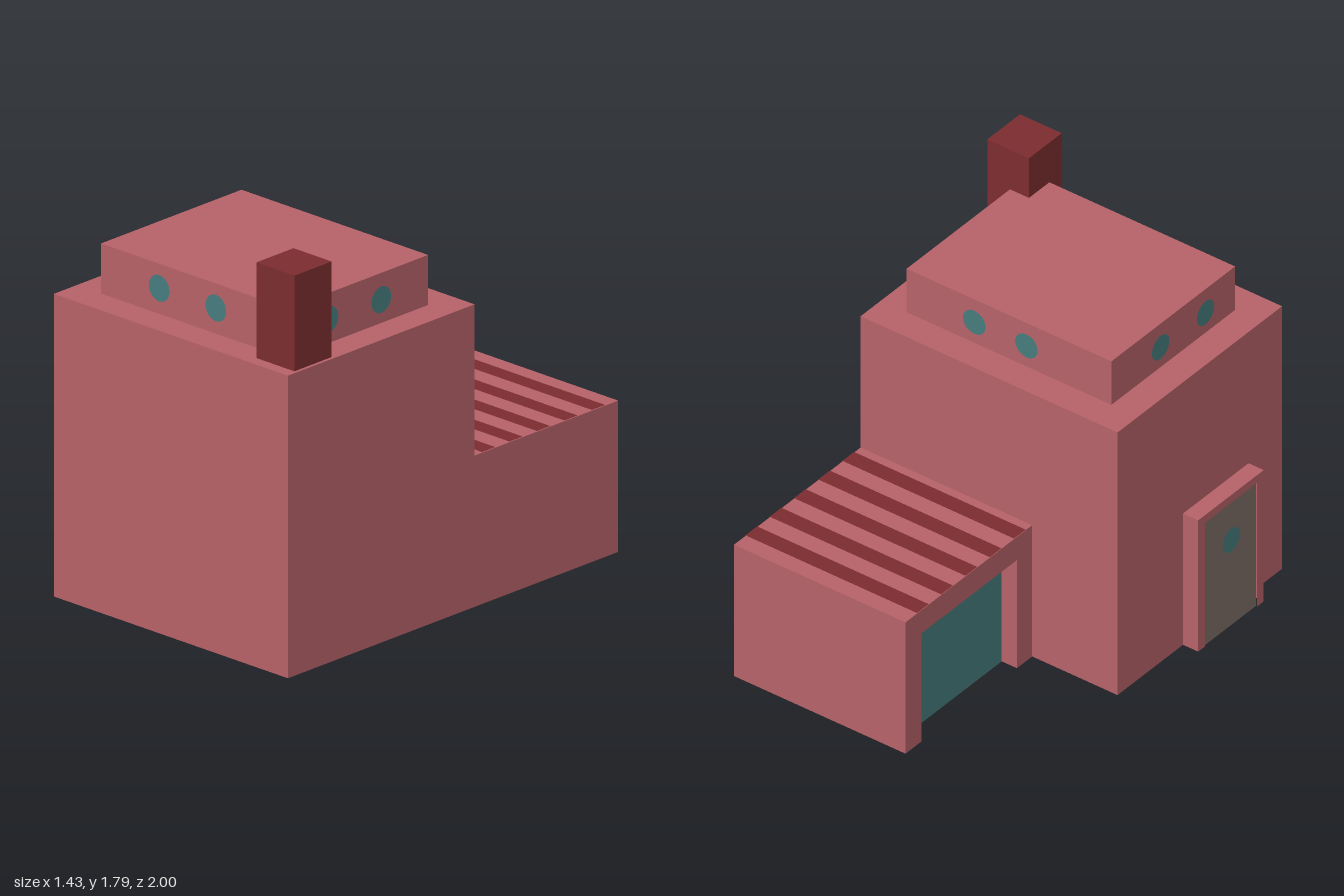
import * as THREE from 'three';

const material = (name, color) => {
  const m = new THREE.MeshStandardMaterial({ color, side: THREE.DoubleSide });
  m.name = name;
  return m;
};

// For each facing: rotation, world-to-local mapping of the two in-plane coordinates, and depth axis
const FACING = {
  front: { rot: [0, 0, 0], map: (x, y) => [x, y], axis: 'z' },
  back: { rot: [0, Math.PI, 0], map: (x, y) => [-x, y], axis: 'z' },
  left: { rot: [0, Math.PI / 2, 0], map: (z, y) => [-z, y], axis: 'x' },
  right: { rot: [0, -Math.PI / 2, 0], map: (z, y) => [z, y], axis: 'x' },
  top: { rot: [-Math.PI / 2, 0, 0], map: (x, z) => [x, -z], axis: 'y' },
  bottom: { rot: [Math.PI / 2, 0, 0], map: (x, z) => [x, z], axis: 'y' },
};

const rect = (a0, a1, b0, b1) => [[a0, b0], [a1, b0], [a1, b1], [a0, b1]];

// Wall outline with a doorway cut up from the ground
const doorwayWall = (a0, a1, h, d0, d1, dh) =>
  [[a0, 0], [d0, 0], [d0, dh], [d1, dh], [d1, 0], [a1, 0], [a1, h], [a0, h]];

export function createModel() {
  const model = new THREE.Group();
  model.name = 'house';
  const wall = material('rosePlaster', 0xb66268);
  const dark = material('darkRed', 0x7c2d2f);
  const teal = material('teal', 0x467c7e);
  const grey = material('doorGrey', 0x7d6e68);

  const group = (name) => {
    const g = new THREE.Group();
    g.name = name;
    model.add(g);
    return g;
  };
  const place = (parent, name, mat, geometry, facing, depth) => {
    const mesh = new THREE.Mesh(geometry, mat);
    mesh.name = name;
    mesh.rotation.set(...FACING[facing].rot);
    mesh.position[FACING[facing].axis] = depth;
    parent.add(mesh);
    return mesh;
  };
  const panel = (parent, name, mat, facing, depth, points) => {
    const shape = new THREE.Shape(points.map((p) => new THREE.Vector2(...FACING[facing].map(...p))));
    return place(parent, name, mat, new THREE.ShapeGeometry(shape), facing, depth);
  };
  const disc = (parent, name, facing, depth, a, b) => {
    const geometry = new THREE.CircleGeometry(0.06, 16);
    geometry.translate(...FACING[facing].map(a, b), 0);
    return place(parent, name, teal, geometry, facing, depth);
  };
  const box = (name, mat, [x0, x1], [y0, y1], [z0, z1]) => {
    const mesh = new THREE.Mesh(new THREE.BoxGeometry(x1 - x0, y1 - y0, z1 - z0), mat);
    mesh.name = name;
    mesh.position.set((x0 + x1) / 2, (y0 + y1) / 2, (z0 + z1) / 2);
    model.add(mesh);
  };

  const X0 = -0.64, X1 = 0.715, GX = -0.19; // main body sides, garage side
  const ZB = -0.13, H = 1.36, GH = 0.68; // main back wall, heights

  // Hollow shell shared by the main body and garage, open underneath
  const shell = group('walls');
  panel(shell, 'frontWall', wall, 'front', 1, rect(X0, X1, 0, H));
  panel(shell, 'leftWall', wall, 'left', X1,
    [[1, 0], [-1, 0], [-1, GH], [ZB, GH], [ZB, H], [1, H]]);
  panel(shell, 'rightWall', wall, 'right', X0, doorwayWall(ZB, 1, H, 0.32, 0.77, 0.68));
  panel(shell, 'backWall', wall, 'back', ZB,
    [[X0, 0], [GX, 0], [GX, GH], [X1, GH], [X1, H], [X0, H]]);
  panel(shell, 'mainRoof', wall, 'top', H, rect(X0, X1, ZB, 1));

  // Garage with a recessed door
  const garage = group('garage');
  const D0 = -0.89, D1 = -0.235, DH = 0.56, DX = -0.11;
  panel(garage, 'garageBackWall', wall, 'back', -1, rect(GX, X1, 0, GH));
  panel(garage, 'garageRightWall', wall, 'right', GX, doorwayWall(-1, ZB, GH, D0, D1, DH));
  panel(garage, 'garageRoof', wall, 'top', GH, rect(GX, X1, -1, ZB));
  panel(garage, 'garageJamb', wall, 'front', D0, rect(GX, DX, 0, DH));
  panel(garage, 'garageJamb', wall, 'back', D1, rect(GX, DX, 0, DH));
  panel(garage, 'garageLintel', wall, 'bottom', DH, rect(GX, DX, D0, D1));
  panel(garage, 'garageDoor', teal, 'right', DX, rect(D0, D1, 0, DH));

  // Painted roof stripes
  for (let i = 0; i < 5; i++) {
    const z = -0.921 + i * 0.1665;
    panel(garage, 'roofStripe', dark, 'top', GH + 0.003, rect(GX, X1, z, z + 0.08));
  }

  // Projecting porch around the entrance door
  const porch = group('entrance');
  const PX = -0.72;
  panel(porch, 'porchSide', wall, 'back', 0.32, rect(PX, X0, 0, 0.68));
  panel(porch, 'porchSide', wall, 'front', 0.77, rect(PX, X0, 0, 0.68));
  panel(porch, 'porchTop', wall, 'top', 0.68, rect(PX, X0, 0.32, 0.77));
  panel(porch, 'doorFrame', wall, 'right', PX, doorwayWall(0.32, 0.77, 0.68, 0.365, 0.725, 0.64));
  panel(porch, 'entranceDoor', grey, 'right', PX + 0.006, rect(0.365, 0.725, 0, 0.64));
  disc(porch, 'doorWindow', 'right', PX + 0.002, 0.55, 0.445);
  disc(porch, 'doorWindowInside', 'left', PX + 0.01, 0.55, 0.445);

  // Upper storey and chimney
  box('upperStorey', wall, [-0.5, 0.58], [H, 1.585], [0.01, 0.86]);
  box('chimney', dark, [0.48, 0.7], [H, 1.79], [0.72, 0.945]);

  // Round windows, two on each side
  const windows = group('roundWindows');
  [
    ['front', 0.864, 1.477, [-0.16, 0.168]],
    ['back', 0.006, 1.47, [-0.055, 0.22]],
    ['left', 0.584, 1.467, [0.297, 0.617]],
    ['right', -0.504, 1.467, [0.343, 0.652]],
  ].forEach(([facing, depth, y, centres]) =>
    centres.forEach((a) => disc(windows, facing + 'Window', facing, depth, a, y)));

  return model;
}
